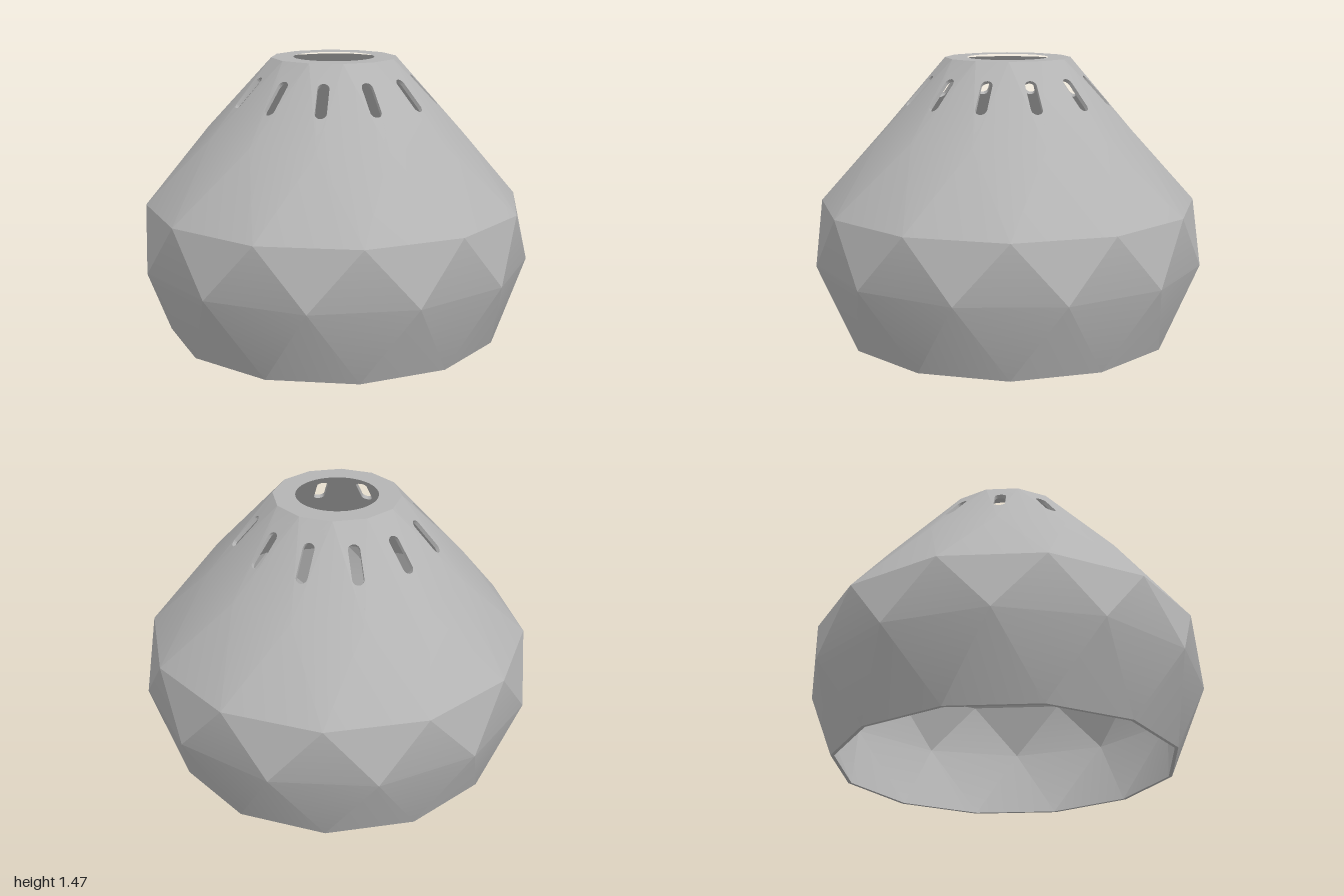
import * as THREE from 'three';
import { mergeGeometries, toCreasedNormals } from 'three/addons/utils/BufferGeometryUtils.js';

const SIDES = 12;
const STEP = 360 / SIDES;
const HALF = STEP / 2;
const CREASE = THREE.MathUtils.degToRad(17);

// [radius, height] of each ring, bottom to top; every second ring is turned by half a side
const OUTER = [[0.89, 0], [1.035, 0.4], [1, 0.7], [0.68, 1.08], [0.33, 1.465]];
const INNER = [[0.872, 0], [1.015, 0.4], [0.977, 0.69], [0.653, 1.08], [0.321, 1.445]];

function ringPoint([r, y], degrees) {
  const a = THREE.MathUtils.degToRad(degrees);
  return new THREE.Vector3(r * Math.sin(a), y, r * Math.cos(a));
}

// Triangle soup with matching corners snapped together
function soup(points) {
  const positions = points.flatMap((p) => p.toArray().map((v) => Math.round(v * 1e4) / 1e4));
  const geometry = new THREE.BufferGeometry();
  geometry.setAttribute('position', new THREE.Float32BufferAttribute(positions, 3));
  return toCreasedNormals(geometry, CREASE);
}

// Rounded slot outline in panel coordinates, y running up the slope, counter-clockwise
function slotOutline(offset) {
  const r = 0.03, top = -0.153, bottom = -0.299, arc = 10;
  const points = [];
  for (let end = 0; end < 2; end++) {
    for (let i = 0; i <= arc; i++) {
      const a = Math.PI * (end + i / arc);
      points.push(new THREE.Vector2(r * Math.cos(a), (end ? bottom : top) + r * Math.sin(a) + offset));
    }
  }
  return points;
}

// Local frame of the triangular panel hanging from one edge of the top ring
function panelFrame(rings, degrees) {
  const lower = rings[3], upper = rings[4];
  const half = THREE.MathUtils.degToRad(HALF);
  const origin = ringPoint([upper[0] * Math.cos(half), upper[1]], degrees);
  const tip = ringPoint(lower, degrees);
  const up = origin.clone().sub(tip);
  const length = up.length();
  up.normalize();
  const a = THREE.MathUtils.degToRad(degrees);
  const side = new THREE.Vector3(Math.cos(a), 0, -Math.sin(a));
  const normal = side.clone().cross(up);
  const matrix = new THREE.Matrix4().makeBasis(side, up, normal).setPosition(origin);
  return { origin, up, length, width: upper[0] * Math.sin(half), matrix };
}

// Flat triangle with a slot cut out
function slottedPanel(frame, outline, push) {
  const shape = new THREE.Shape([
    new THREE.Vector2(0, -frame.length),
    new THREE.Vector2(frame.width, 0),
    new THREE.Vector2(-frame.width, 0),
  ]);
  shape.holes.push(new THREE.Path(outline));
  const geometry = new THREE.ShapeGeometry(shape).toNonIndexed().applyMatrix4(frame.matrix);
  const pos = geometry.getAttribute('position');
  const at = (i) => new THREE.Vector3().fromBufferAttribute(pos, i);
  for (let i = 0; i < pos.count; i += 3) push(at(i), at(i + 1), at(i + 2));
}

// Faceted skin of alternating up and down triangles, facing out or in
function skin(rings, inward) {
  const points = [];
  const push = (a, b, c) => points.push(...(inward ? [a, c, b] : [a, b, c]));
  for (let band = 0; band < rings.length - 1; band++) {
    const low = rings[band], high = rings[band + 1];
    const phase = band % 2 ? HALF : 0;
    for (let i = 0; i < SIDES; i++) {
      const a = phase + i * STEP;
      push(ringPoint(low, a), ringPoint(low, a + STEP), ringPoint(high, a + HALF));
      if (band < rings.length - 2) {
        push(ringPoint(low, a), ringPoint(high, a + HALF), ringPoint(high, a - HALF));
      } else {
        const frame = panelFrame(rings, a);
        const outer = panelFrame(OUTER, a);
        const offset = -frame.origin.clone().sub(outer.origin).dot(outer.up);
        slottedPanel(frame, slotOutline(offset), push);
      }
    }
  }
  return soup(points);
}

// Walls of the slots through the thickness of the shade
function slotWalls() {
  const points = [];
  for (let i = 0; i < SIDES; i++) {
    const a = HALF + i * STEP;
    const outer = panelFrame(OUTER, a), inner = panelFrame(INNER, a);
    const offset = -inner.origin.clone().sub(outer.origin).dot(outer.up);
    const place = (outline, m) => outline.map((p) => new THREE.Vector3(p.x, p.y, 0).applyMatrix4(m));
    const front = place(slotOutline(0), outer.matrix);
    const back = place(slotOutline(offset), inner.matrix);
    front.forEach((p, k) => {
      const n = (k + 1) % front.length;
      points.push(p, front[n], back[n], p, back[n], back[k]);
    });
  }
  return soup(points);
}

// Thin flat edge around the open bottom
function bottomRim() {
  const points = [];
  for (let i = 0; i < SIDES; i++) {
    const a = i * STEP, b = a + STEP;
    const p = ringPoint(OUTER[0], a), q = ringPoint(OUTER[0], b);
    const s = ringPoint(INNER[0], a), t = ringPoint(INNER[0], b);
    points.push(p, s, t, p, t, q);
  }
  return soup(points);
}

// Twelve-sided top plate with a round opening
function topPlate() {
  const corners = [];
  for (let i = 0; i < SIDES; i++) {
    const p = ringPoint(OUTER[4], i * STEP);
    corners.push(new THREE.Vector2(p.x, p.z));
  }
  const shape = new THREE.Shape(corners);
  shape.holes.push(new THREE.Path().absarc(0, 0, 0.212, 0, Math.PI * 2, true));
  const geometry = new THREE.ExtrudeGeometry(shape, { depth: 0.02, bevelEnabled: false, curveSegments: 48 });
  geometry.rotateX(-Math.PI / 2).translate(0, 1.445, 0);
  return geometry;
}

export function createModel() {
  const group = new THREE.Group();
  group.name = 'lampshade';
  const grey = new THREE.MeshStandardMaterial({ color: 0xb4b4b4 });
  grey.name = 'grey';

  const add = (name, geometry) => {
    const mesh = new THREE.Mesh(geometry, grey);
    mesh.name = name;
    group.add(mesh);
  };
  add('shade', mergeGeometries([skin(OUTER, false), skin(INNER, true)]));
  add('ventSlotWalls', slotWalls());
  add('bottomRim', bottomRim());
  add('topPlate', topPlate());
  return group;
}
